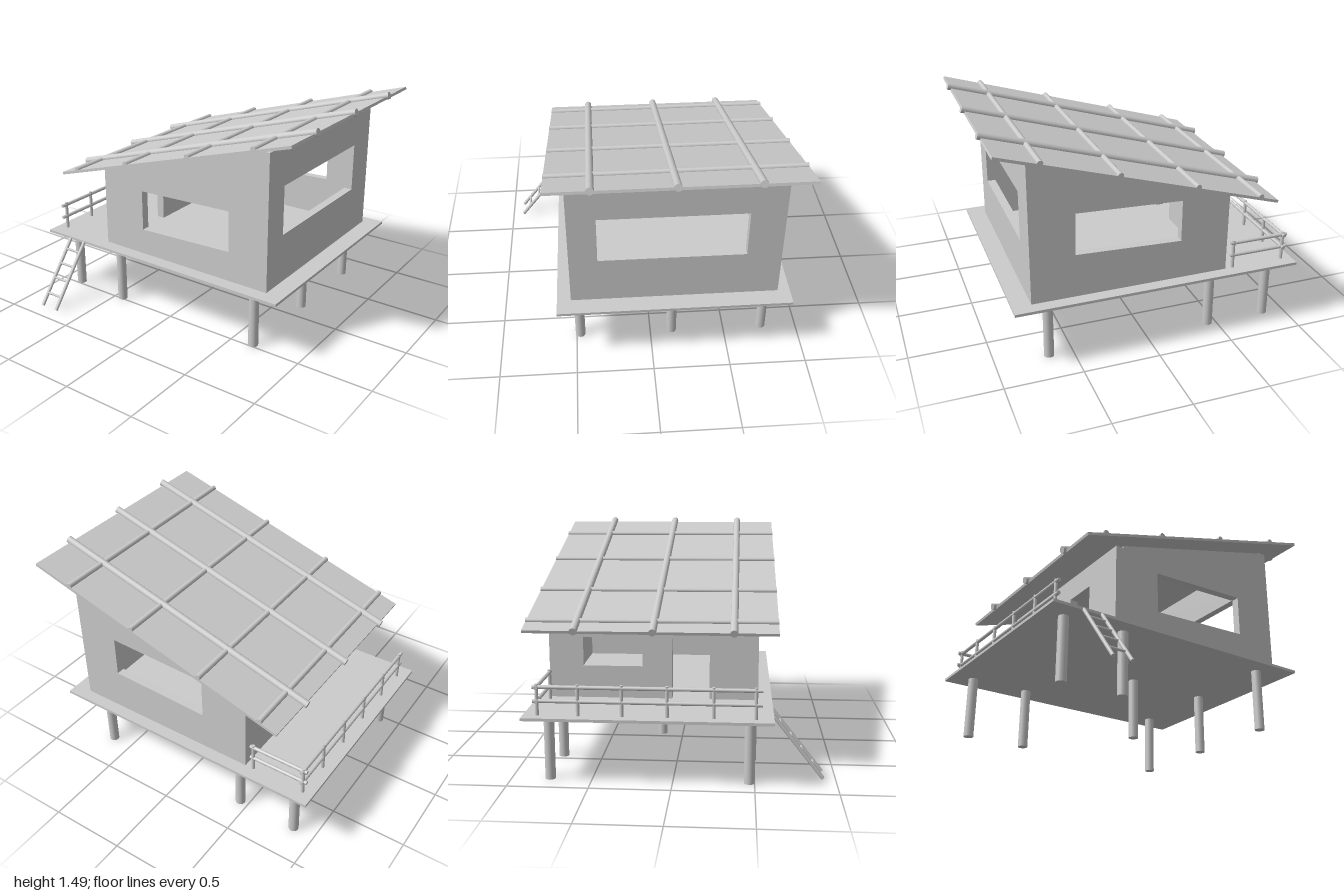
import * as THREE from 'three';

const mat = new THREE.MeshStandardMaterial({ color: 0xcccccc });
const V = (x, y, z) => new THREE.Vector3(x, y, z);

function add(parent, name, geometry) {
  const mesh = new THREE.Mesh(geometry, mat);
  mesh.name = name;
  parent.add(mesh);
  return mesh;
}

// Round pole between two points
function pole(parent, name, a, b, r, sides = 12) {
  const mesh = add(parent, name, new THREE.CylinderGeometry(r, r, a.distanceTo(b), sides));
  mesh.position.copy(a).add(b).multiplyScalar(0.5);
  mesh.quaternion.setFromUnitVectors(V(0, 1, 0), b.clone().sub(a).normalize());
  return mesh;
}

// Flat wall panel from an outline with openings
function wallGeometry(outline, holes, depth) {
  const toPoints = pts => pts.map(([x, y]) => new THREE.Vector2(x, y));
  const shape = new THREE.Shape(toPoints(outline));
  for (const h of holes) shape.holes.push(new THREE.Path(toPoints(h)));
  return new THREE.ExtrudeGeometry(shape, { depth, bevelEnabled: false });
}

const rect = (x0, y0, x1, y1) => [[x0, y0], [x1, y0], [x1, y1], [x0, y1]];

function group(parent, name) {
  const g = new THREE.Group();
  g.name = name;
  parent.add(g);
  return g;
}

export function createModel() {
  const model = new THREE.Group();
  model.name = 'stiltHut';
  const floorY = 0.43;

  // Deck on eight stilts
  add(model, 'deck', new THREE.BoxGeometry(1.51, 0.018, 1.89)).position.set(0.145, floorY - 0.009, -0.055);
  const stilts = group(model, 'stilts');
  const stiltSpots = [
    [0.76, 0.655], [0.145, 0.655], [-0.475, 0.655], [0.145, 0.075],
    [0.76, -0.44], [-0.483, -0.44], [0.76, -0.85], [-0.468, -0.85],
  ];
  for (const [x, z] of stiltSpots) pole(stilts, 'stilt', V(x, 0, z), V(x, 0.42, z), 0.033);

  // Walls with window and door openings
  const walls = group(model, 'walls');
  const t = 0.055, x0 = -0.52, x1 = 0.82, zBack = -0.52, zFront = 0.77;
  add(walls, 'frontWall', wallGeometry(rect(x0, floorY, x1, 1.338),
    [rect(-0.34, 0.755, 0.597, 1.08)], t)).position.z = zFront - t;

  const backOutline = [
    [x0, floorY], [-0.21, floorY], [-0.21, 0.825], [0.03, 0.825],
    [0.03, floorY], [x1, floorY], [x1, 0.98], [x0, 0.98],
  ];
  add(walls, 'backWall', wallGeometry(backOutline,
    [rect(0.22, 0.64, 0.6, 0.825)], t)).position.z = zBack;

  const sideOutline = [
    [zBack + t, floorY], [zFront - t, floorY], [zFront - t, 1.333], [zBack + t, 0.995],
  ];
  for (const [name, x, drop] of [['leftWall', x1, 0], ['rightWall', x0 + t, 0.085]]) {
    const opening = [[-0.2, 0.69], [0.487, 0.716], [0.485, 0.99], [-0.2, 0.965]].map(([z, y]) => [z, y - drop]);
    const side = add(walls, name, wallGeometry(sideOutline, [opening], t));
    side.rotation.y = -Math.PI / 2;
    side.position.x = x;
  }

  // Sloping roof panel with a lattice of poles
  const roof = group(model, 'roof');
  const slope = 0.299;
  const roofY = z => 1.463 + (z - 0.99) * slope;
  const panel = add(roof, 'roofPanel', new THREE.BoxGeometry(1.56, 0.018, 1.775 * Math.hypot(1, slope)));
  panel.rotation.x = -Math.atan(slope);
  panel.position.set(0.145, roofY(0.0875) - 0.015, 0.0875);
  for (const x of [-0.365, 0.125, 0.605])
    pole(roof, 'rafterPole', V(x, roofY(0.992), 0.992), V(x, roofY(-0.822), -0.822), 0.024);
  for (const z of [-0.676, -0.247, 0.247, 0.717]) {
    const zl = z + 0.008, zr = z - 0.006;
    pole(roof, 'crossPole', V(-0.635, roofY(zl) - 0.002, zl), V(0.925, roofY(zr) - 0.002, zr), 0.018);
  }

  // Railing along the back and one side of the porch
  const railing = group(model, 'railing');
  const backZ = -0.928, sideX = 0.812;
  const posts = [-0.5, -0.25, 0.028, 0.3, 0.565, sideX].map(x => [x, backZ]);
  posts.push([sideX, -0.573]);
  for (const [x, z] of posts)
    pole(railing, 'railingPost', V(x, floorY - 0.005, z), V(x, 0.622, z), 0.011, 10);
  for (const y of [0.605, 0.518]) {
    pole(railing, 'backRail', V(-0.54, y, backZ), V(0.838, y, backZ), 0.012, 10);
    pole(railing, 'sideRail', V(sideX, y, -0.552), V(sideX, y, -0.955), 0.012, 10);
  }

  // Leaning ladder beside the porch
  const ladder = group(model, 'ladder');
  const za = -0.67, zb = -0.795;
  for (const z of [za, zb]) pole(ladder, 'ladderRail', V(-0.918, 0.021, z), V(-0.605, 0.42, z), 0.012, 10);
  for (const y of [0.095, 0.185, 0.27, 0.355]) {
    const x = -0.918 + (y - 0.021) * 0.313 / 0.399;
    pole(ladder, 'ladderRung', V(x, y, za), V(x, y, zb), 0.008, 10);
  }
  return model;
}
